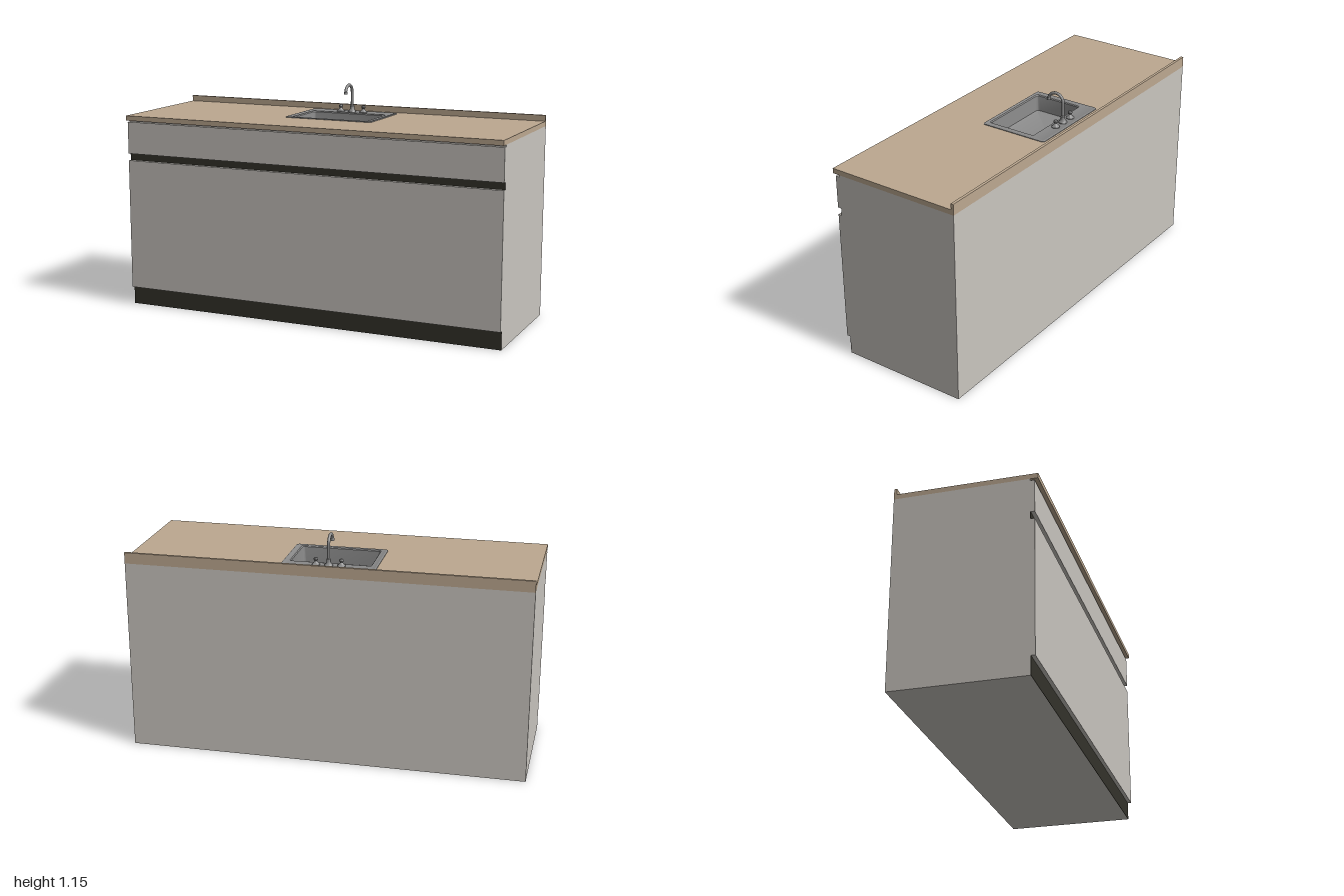
import * as THREE from 'three';
import { toCreasedNormals } from 'three/addons/utils/BufferGeometryUtils.js';

const paint = (name, color) => {
  const m = new THREE.MeshStandardMaterial({ color });
  m.name = name;
  return m;
};

export function createModel() {
  const cabinet = paint('cabinet grey', 0xc9c5bf);
  const wood = paint('worktop beige', 0xbca890);
  const dark = paint('recess dark', 0x34332b);
  const steel = paint('steel', 0x8a8a8a);

  const model = new THREE.Group();
  model.name = 'sinkUnit';

  const add = (parent, name, geometry, material, x = 0, y = 0, z = 0) => {
    const mesh = new THREE.Mesh(geometry, material);
    mesh.name = name;
    mesh.position.set(x, y, z);
    parent.add(mesh);
    return mesh;
  };
  // Box given by its limits
  const box = (parent, name, material, x0, x1, y0, y1, z0, z1) =>
    add(parent, name, new THREE.BoxGeometry(x1 - x0, y1 - y0, z1 - z0), material,
      (x0 + x1) / 2, (y0 + y1) / 2, (z0 + z1) / 2);

  // Slab with a rectangular opening for the basin
  const rect = (Type, x0, x1, z0, z1) => new Type([
    new THREE.Vector2(x0, -z1), new THREE.Vector2(x1, -z1),
    new THREE.Vector2(x1, -z0), new THREE.Vector2(x0, -z0)]);
  const holedSlab = (parent, name, material, x0, x1, y0, y1, z0, z1) => {
    const shape = rect(THREE.Shape, x0, x1, z0, z1);
    shape.holes.push(rect(THREE.Path, -0.215, 0.215, -0.22, 0.058));
    const g = new THREE.ExtrudeGeometry(shape, { depth: y1 - y0, bevelEnabled: false });
    g.rotateX(-Math.PI / 2);
    add(parent, name, g, material, 0, y0, 0);
  };

  // Three equal cabinets side by side
  const back = -0.345, bodyFront = 0.308, doorFront = 0.329, under = 0.969, top = 0.994;
  ['rightCabinet', 'centreCabinet', 'leftCabinet'].forEach((name, i) => {
    const unit = new THREE.Group();
    unit.name = name;
    model.add(unit);
    const x0 = -1 + i * 2 / 3, x1 = x0 + 2 / 3;
    if (i === 1) {
      box(unit, 'body', cabinet, x0, x1, 0, 0.88, back, bodyFront);
      holedSlab(unit, 'upperBody', cabinet, x0, x1, 0.88, under, back, bodyFront);
      holedSlab(unit, 'worktop', wood, x0, x1, under, top, back, 0.345);
    } else {
      box(unit, 'body', cabinet, x0, x1, 0, under, back, bodyFront);
      box(unit, 'worktop', wood, x0, x1, under, top, back, 0.345);
    }
    box(unit, 'upstand', wood, x0, x1, top, 1.024, back, -0.331);
    box(unit, 'door', cabinet, x0, x1, 0.092, 0.761, bodyFront, doorFront);
    box(unit, 'drawerFront', cabinet, x0, x1, 0.797, 0.96, bodyFront, doorFront);
    box(unit, 'gripRecess', dark, x0, x1, 0.761, 0.797, bodyFront, bodyFront + 0.002);
    box(unit, 'plinth', dark, x0, x1, 0, 0.092, bodyFront, bodyFront + 0.002);
  });

  // Sink pressed from rounded rectangles: [halfWidth, zBack, zFront, cornerRadius, y]
  const sink = new THREE.Group();
  sink.name = 'sink';
  model.add(sink);
  const rings = [
    [0.234, -0.288, 0.068, 0.014, 0.9935],
    [0.234, -0.288, 0.068, 0.014, 0.997],
    [0.231, -0.285, 0.065, 0.012, 0.999],
    [0.225, -0.279, 0.059, 0.009, 0.999],
    [0.222, -0.276, 0.056, 0.008, 0.997],
    [0.203, -0.207, 0.050, 0.012, 0.997],
    [0.199, -0.203, 0.046, 0.012, 0.992],
    [0.194, -0.198, 0.041, 0.014, 0.915],
    [0.186, -0.190, 0.033, 0.012, 0.910],
    [0.010, -0.165, -0.145, 0.005, 0.908],
  ];
  const steps = 5, n = 4 * steps;
  const positions = [], index = [];
  rings.forEach(([w, zb, zf, r, y], k) => {
    for (let j = 0; j < n; j++) {
      const c = Math.floor(j / steps);
      const a = (c + (j % steps) / (steps - 1)) * Math.PI / 2;
      const cx = c === 0 || c === 3 ? w - r : r - w;
      const cz = c < 2 ? zf - r : zb + r;
      positions.push(cx + r * Math.cos(a), y, cz + r * Math.sin(a));
      if (k) {
        const p = (k - 1) * n + j, q = (k - 1) * n + (j + 1) % n;
        index.push(p, p + n, q, q, p + n, q + n);
      }
    }
  });
  const basin = new THREE.BufferGeometry();
  basin.setAttribute('position', new THREE.Float32BufferAttribute(positions, 3));
  basin.setIndex(index);
  const basinMaterial = steel;
  basinMaterial.side = THREE.DoubleSide;
  add(sink, 'basin', toCreasedNormals(basin, 0.6), basinMaterial);

  // Turned parts
  const lathe = (parent, name, points, x, y, z) => {
    const g = new THREE.LatheGeometry(points.map(p => new THREE.Vector2(...p)), 24);
    return add(parent, name, toCreasedNormals(g, 0.6), steel, x, y, z);
  };
  lathe(sink, 'drain', [[0.019, 0], [0.019, 0.003], [0.015, 0.003], [0.012, 0.001], [0, 0.001]],
    0, 0.908, -0.155);

  // Tap with a swan neck and two turn handles
  const tap = new THREE.Group();
  tap.name = 'tap';
  tap.position.set(0, 0.997, -0.241);
  model.add(tap);
  lathe(tap, 'tapBase', [[0.021, 0], [0.021, 0.003], [0.016, 0.009], [0.011, 0.018],
    [0.011, 0.033], [0.0075, 0.037]], 0, 0, 0);
  const path = [new THREE.Vector3(0, 0.02, 0), new THREE.Vector3(0, 0.06, 0)];
  for (let i = 0; i <= 10; i++) {
    const a = Math.PI * (1 - i / 10 * 0.96);
    path.push(new THREE.Vector3(0, 0.102 + 0.042 * Math.sin(a), 0.042 + 0.042 * Math.cos(a)));
  }
  add(tap, 'spout', new THREE.TubeGeometry(new THREE.CatmullRomCurve3(path), 48, 0.0075, 14), steel);
  add(tap, 'nozzle', new THREE.CylinderGeometry(0.0085, 0.0095, 0.012, 20), steel, 0, 0.106, 0.084);
  for (const s of [-1, 1]) {
    lathe(tap, s > 0 ? 'leftHandle' : 'rightHandle', [[0.02, 0], [0.02, 0.003], [0.015, 0.008],
      [0.008, 0.016], [0.006, 0.02], [0.01, 0.024], [0.011, 0.03], [0.008, 0.036], [0, 0.038]],
      s * 0.063, 0, 0);
  }
  return model;
}
